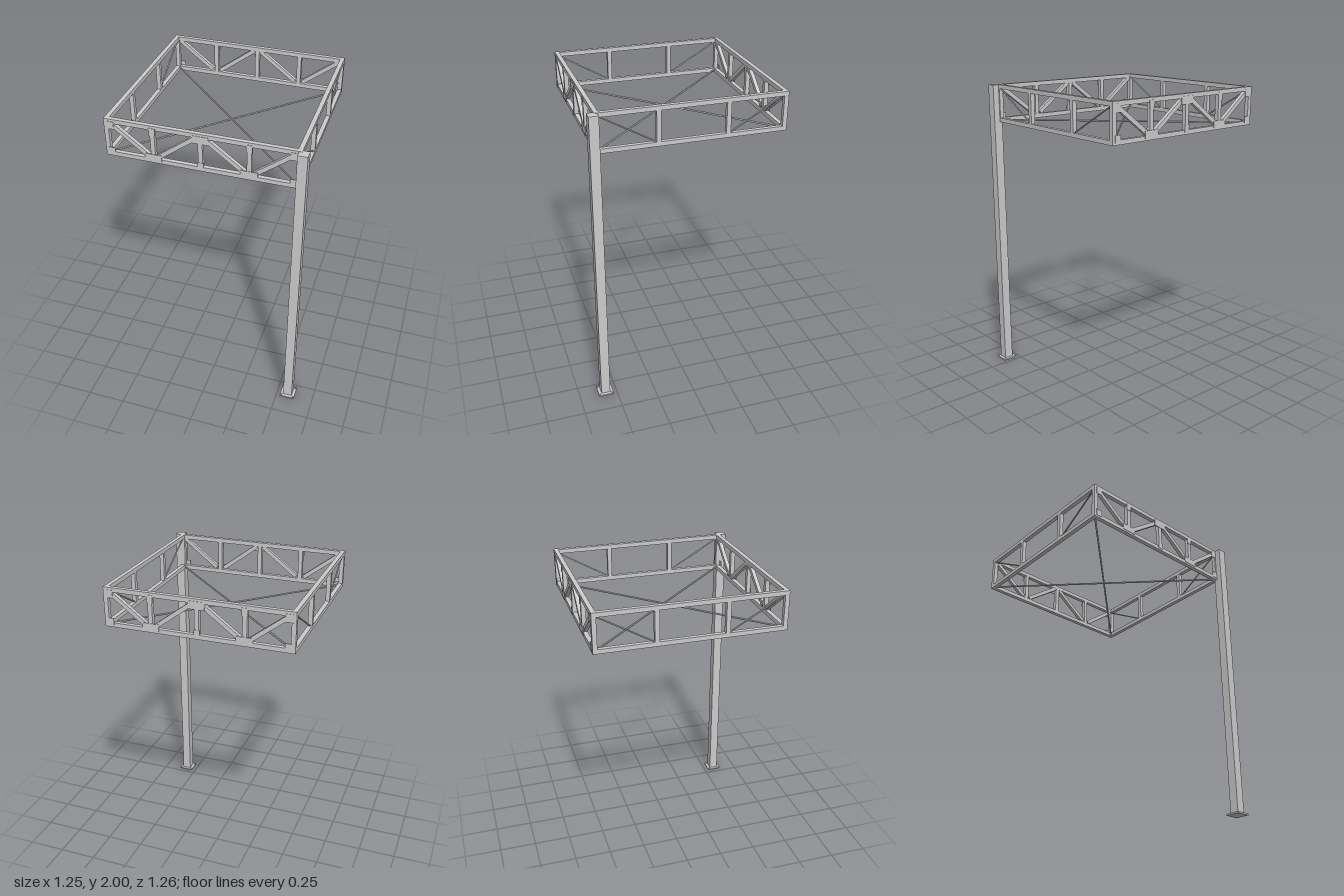
import * as THREE from 'three';

const T = 0.028;                 // square tube size
const C = -0.031, H = 0.596;     // frame centre (x and z) and half width
const E = H - T / 2;             // centre to tube axis
const BOTTOM = 1.75, TOP = 2;
const yLow = BOTTOM + T / 2, yHigh = TOP - T / 2;

export function createModel() {
  const model = new THREE.Group();
  const material = new THREE.MeshStandardMaterial({ color: 0xcccccc, flatShading: true });
  const v = (x, y, z) => new THREE.Vector3(x, y, z);

  function add(parent, name, geometry, x, y, z) {
    const mesh = new THREE.Mesh(geometry, material);
    mesh.name = name;
    mesh.position.set(x, y, z);
    parent.add(mesh);
    return mesh;
  }
  const box = (parent, name, w, h, d, x, y, z) =>
    add(parent, name, new THREE.BoxGeometry(w, h, d), x, y, z);

  // Round tie rod between two points
  function rod(parent, name, a, b, radius) {
    const dir = b.clone().sub(a);
    const mid = a.clone().add(b).multiplyScalar(0.5);
    const mesh = add(parent, name, new THREE.CylinderGeometry(radius, radius, dir.length(), 10), mid.x, mid.y, mid.z);
    mesh.quaternion.setFromUnitVectors(v(0, 1, 0), dir.normalize());
  }

  // Square ring frame: chords, corner posts
  const frame = new THREE.Group();
  frame.name = 'ringFrame';
  frame.position.set(C, 0, C);
  model.add(frame);
  for (const s of [-1, 1]) {
    for (const y of [yLow, yHigh]) {
      box(frame, 'trussChord', 2 * H, T, T, 0, y, s * E);
      box(frame, 'sideChord', T, T, 2 * (H - T), s * E, y, 0);
    }
    for (const r of [-1, 1]) box(frame, 'cornerPost', T, TOP - BOTTOM - 2 * T, T, s * E, (TOP + BOTTOM) / 2, r * E);
  }

  // Front and back trusses: verticals, diagonals and outer gusset plates
  const clear = TOP - BOTTOM - 2 * T;
  const bay = 0.294;
  for (const s of [-1, 1]) {
    const truss = new THREE.Group();
    truss.name = s > 0 ? 'frontTruss' : 'backTruss';
    truss.position.z = s * E;
    frame.add(truss);
    for (const i of [-1, 0, 1]) box(truss, 'trussVertical', T, clear, T, i * bay, (TOP + BOTTOM) / 2, 0);

    for (const m of [-1, 1]) {
      for (const [x0, x1] of [[E - 0.022, bay + 0.026], [0.022, bay - 0.026]]) {
        // from the top chord at x0 down to the bottom chord at x1
        const dx = m * (x1 - x0), dy = 1.788 - 1.972;
        const d = box(truss, 'trussDiagonal', Math.hypot(dx, dy), 0.027, T * 0.9, m * (x0 + x1) / 2, 1.88, 0);
        d.rotation.z = Math.atan(dy / dx);
      }
    }

    const plate = (x, w, high) => {
      const h = high === 'top' ? 0.05 : 0.045;
      const y = high === 'top' ? 1.985 - h / 2 : 1.763 + h / 2;
      box(truss, 'gussetPlate', w, h, 0.004, x, y, s * (T / 2 + 0.0005));
    };
    plate(0, 0.1, 'top');
    plate(0, 0.038, 'bottom');
    for (const m of [-1, 1]) {
      plate(m * bay, 0.104, 'bottom');
      plate(m * bay, 0.038, 'top');
      plate(m * 0.557, 0.045, 'top');
      plate(m * 0.557, 0.042, 'bottom');
    }
  }

  // Left and right sides: two posts and a tie rod in each end bay
  const sidePost = 0.217;
  for (const s of [-1, 1]) {
    for (const m of [-1, 1]) {
      box(frame, 'sidePost', T, clear, T, s * E, (TOP + BOTTOM) / 2, m * sidePost);
      rod(frame, 'sideTieRod', v(s * E, TOP - T, m * (H - T)),
        v(s * E, BOTTOM + T, m * (sidePost + T / 2)), 0.005);
    }
    // Crossed rods in the plane of the bottom chords
    rod(frame, 'floorTieRod', v(-(H - T), yLow, -s * (H - T)), v(H - T, yLow, s * (H - T)), 0.006);
  }

  // Single column outside one corner
  const P = 0.576;
  box(model, 'column', 0.06, 1.988, 0.06, P, 0.01 + 0.994, P);

  // Base plate with four bolt holes
  const shape = new THREE.Shape();
  const h = 0.05;
  shape.moveTo(-h, -h).lineTo(h, -h).lineTo(h, h).lineTo(-h, h).closePath();
  for (const sx of [-1, 1]) for (const sy of [-1, 1]) {
    const hole = new THREE.Path();
    hole.absarc(sx * 0.04, sy * 0.04, 0.005, 0, Math.PI * 2, true);
    shape.holes.push(hole);
  }
  const base = add(model, 'basePlate', new THREE.ExtrudeGeometry(shape, { depth: 0.01, bevelEnabled: false, curveSegments: 12 }), P, 0, P);
  base.rotation.x = -Math.PI / 2;

  return model;
}
